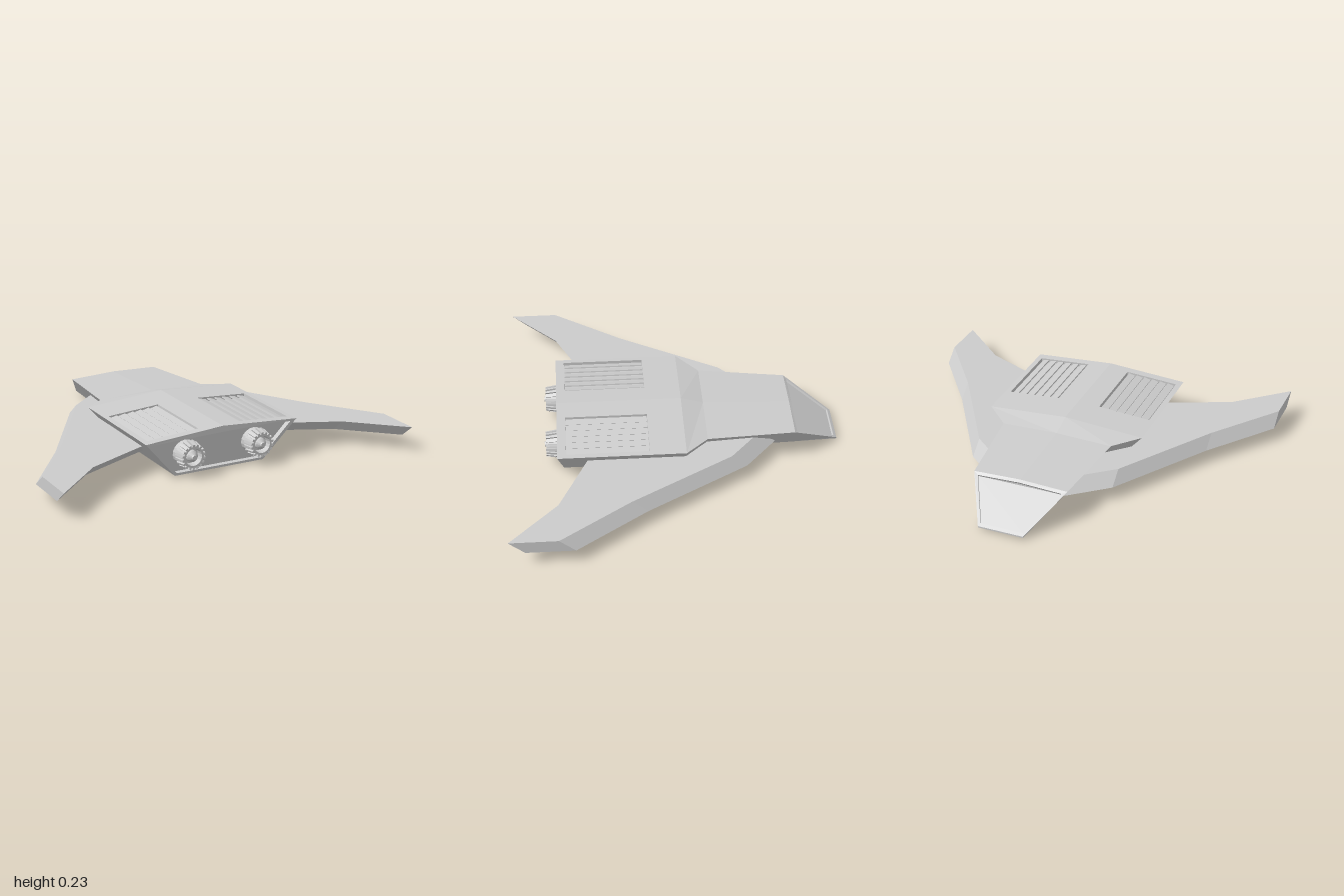
import * as THREE from 'three';

const material = new THREE.MeshStandardMaterial({ color: 0xcccccc, flatShading: true });

// Flat faces, each a list of [x, y, z] corners in counter-clockwise order
function faceMesh(name, faces) {
  const pos = [];
  for (const f of faces)
    for (let i = 1; i < f.length - 1; i++) pos.push(...f[0], ...f[i], ...f[i + 1]);
  const g = new THREE.BufferGeometry();
  g.setAttribute('position', new THREE.Float32BufferAttribute(pos, 3));
  g.computeVertexNormals();
  return named(name, g);
}

function named(name, geometry) {
  const m = new THREE.Mesh(geometry, material);
  m.name = name;
  return m;
}

// Faces joining consecutive loops; skip(segment, side) leaves a face open
function loft(loops, skip = () => false) {
  const faces = [];
  for (let s = 0; s < loops.length - 1; s++) {
    const a = loops[s], b = loops[s + 1], n = a.length;
    for (let k = 0; k < n; k++)
      if (!skip(s, k)) faces.push([a[k], b[k], b[(k + 1) % n], a[(k + 1) % n]]);
  }
  return faces;
}

// A face with a sunken panel: rim, walls and floor
function sunken(outer, inner, depth) {
  const floor = inner.map(p => p.map((v, i) => v + depth[i]));
  const n = outer.length, faces = [floor];
  for (let i = 0; i < n; i++) {
    const j = (i + 1) % n;
    faces.push([outer[i], outer[j], inner[j], inner[i]]);
    faces.push([inner[i], inner[j], floor[j], floor[i]]);
  }
  return faces;
}

const roofY = x => 0.235 - (0.03 / 0.44) * Math.abs(x);

function createHull() {
  const hull = new THREE.Group();
  hull.name = 'hull';
  // z, edge half width, edge y, ridge y, bottom half width, bottom y, bottom z
  const loops = [
    [0.63, 0.44, 0.205, 0.235, 0.26, 0, 0.6],
    [-0.04, 0.44, 0.205, 0.235, 0.26, 0, -0.04],
    [-0.16, 0.31, 0.19, 0.2, 0.17, 0.025, -0.16],
    [-0.63, 0.26, 0.17, 0.18, 0.14, 0.014, -0.63],
    [-0.88, 0.125, 0.018, 0.018, 0.123, 0.01, -0.88],
  ].map(([z, w, ye, yc, b, yb, zb]) =>
    [[0, yc, z], [-w, ye, z], [-b, yb, zb], [b, yb, zb], [w, ye, z]]);
  const roofOpen = (s, k) => (s === 0 || s === 3) && (k === 0 || k === 4);
  hull.add(faceMesh('hullShell', [...loft(loops, roofOpen), [...loops[4]].reverse()]));

  // Recessed rear panel
  const rearZ = y => 0.6 + 0.03 * Math.min(1, y / 0.205);
  const rear = [[0, 0.202], [-0.405, 0.195], [-0.25, 0.013], [0.25, 0.013], [0.405, 0.195]]
    .map(([x, y]) => [x, y, rearZ(y)]);
  hull.add(faceMesh('rearPanel', sunken(loops[0], rear, [0, 0, -0.03])));

  // Sloping windscreen in the nose
  const [ridge, l3, , , r3] = loops[3], [, l4, , , r4] = loops[4];
  const glass = [[0.233, 0.16, -0.645], [0.117, 0.028, -0.864], [-0.117, 0.028, -0.864],
    [-0.233, 0.16, -0.645], [0, 0.17, -0.645]];
  hull.add(faceMesh('windscreen', sunken([r3, r4, l4, l3, ridge], glass, [0, -0.009, 0.006])));
  return hull;
}

// Half of the rear roof with a slatted vent
function createVent(side) {
  const vent = new THREE.Group();
  vent.name = side > 0 ? 'leftVent' : 'rightVent';
  const rect = (x0, x1, z0, z1) => {
    const r = [[x1, z1], [x1, z0], [x0, z0], [x0, z1]].map(([x, z]) => [side * x, roofY(x), z]);
    return side > 0 ? r : r.reverse();
  };
  vent.add(faceMesh('ventFrame',
    sunken(rect(0, 0.44, -0.04, 0.63), rect(0.12, 0.41, 0.15, 0.585), [0, -0.024, 0])));
  const count = 6, pitch = 0.28 / count;
  for (let i = 0; i < count; i++) {
    const x = 0.125 + pitch * (i + 0.5);
    const slat = named('ventSlat', new THREE.BoxGeometry(pitch * 0.82, 0.007, 0.43));
    slat.position.set(side * x, roofY(x) - 0.011, 0.367);
    slat.rotation.z = -side * 0.25;
    vent.add(slat);
  }
  return vent;
}

// Swept wing: the underside lies further towards the nose than the top
function createWing(side) {
  const shear = 0.082;
  const loops = [[1, 0.63, 0.88], [0.73, 0.26, 0.63], [0.4, -0.28, 0.482], [0.2, -0.45, 0.4]]
    .map(([x, z0, z1]) => [[side * x, 0.14, z0], [side * x, 0.14, z1],
      [side * x, 0.073, z1 - shear], [side * x, 0.073, z0 - shear]]);
  if (side < 0) loops.reverse();
  return faceMesh(side > 0 ? 'leftWing' : 'rightWing',
    [...loft(loops), loops[0], [...loops[3]].reverse()]);
}

// Ribbed, tapering thruster with a cone in its mouth
function createEngine(side) {
  const engine = new THREE.Group();
  engine.name = side > 0 ? 'leftEngine' : 'rightEngine';
  const profile = [[0.067, 0], [0.067, 0.05], [0.057, 0.108], [0.046, 0.108], [0.042, 0.07],
    [0.031, 0.07], [0.03, 0.095], [0.015, 0.11], [0.012, 0.117], [0, 0.117]];
  const body = named('nozzle',
    new THREE.LatheGeometry(profile.map(p => new THREE.Vector2(...p)), 18));
  body.rotation.x = Math.PI / 2;
  engine.add(body);
  for (let i = 0; i < 18; i++) {
    const spoke = new THREE.Group();
    spoke.name = 'nozzleRib';
    spoke.rotation.z = (i / 18) * Math.PI * 2;
    const rib = named('rib', new THREE.BoxGeometry(0.012, 0.013, 0.062));
    rib.position.set(0, 0.064, 0.078);
    rib.rotation.x = 0.15;
    spoke.add(rib);
    engine.add(spoke);
  }
  engine.position.set(side * 0.2, 0.118, 0.58);
  return engine;
}

export function createModel() {
  const model = new THREE.Group();
  model.name = 'spacecraft';
  model.add(createHull());
  for (const side of [1, -1])
    model.add(createVent(side), createWing(side), createEngine(side));
  return model;
}
